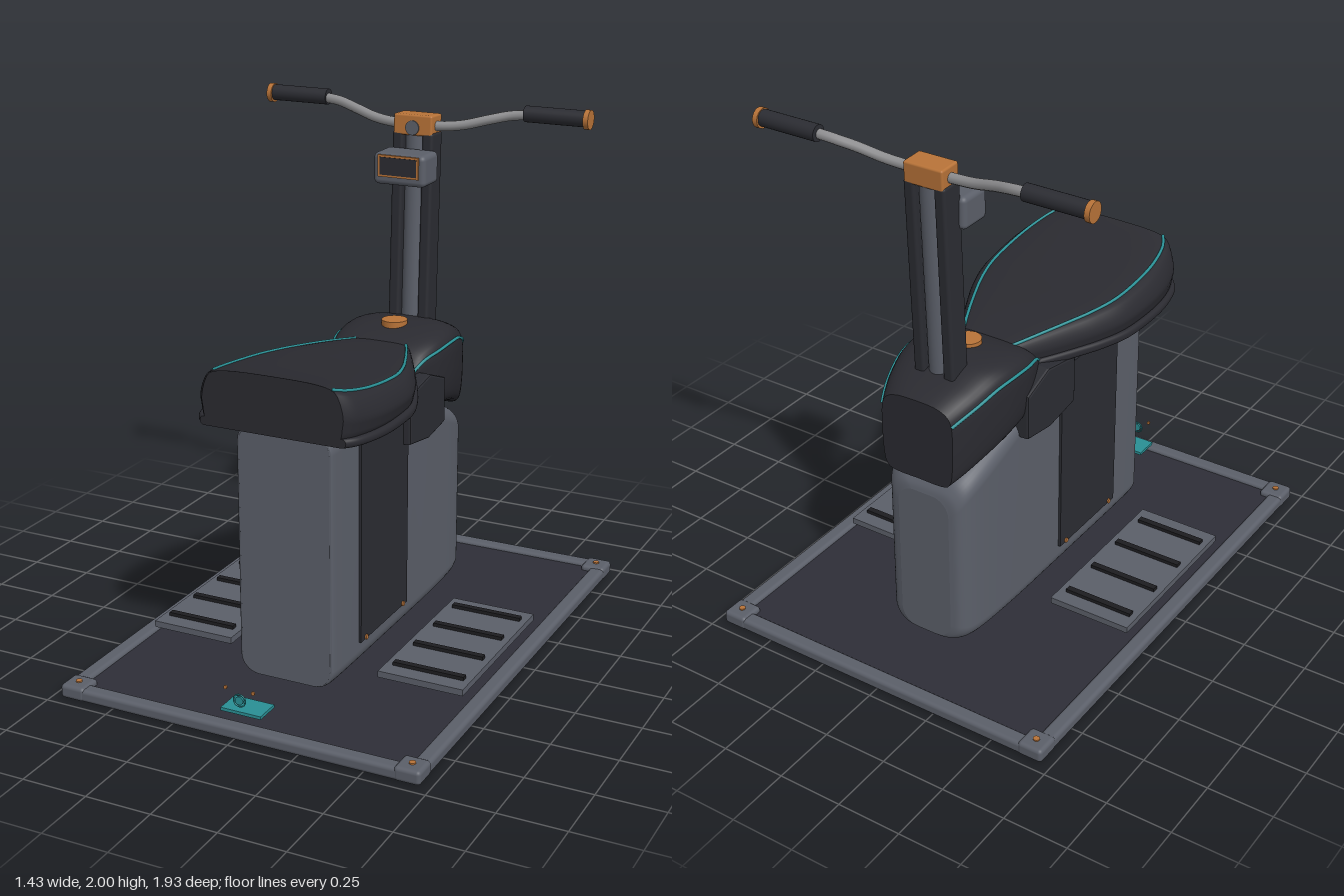
import * as THREE from 'three';
import { RoundedBoxGeometry } from 'three/addons/geometries/RoundedBoxGeometry.js';

const mat = (name, color) => {
  const m = new THREE.MeshStandardMaterial({ color });
  m.name = name;
  return m;
};

// Smoothly interpolates rows of station values, t from 0 to 1
function sample(rows, t) {
  const f = t * (rows.length - 1), i = Math.min(Math.floor(f), rows.length - 2), u = f - i;
  const row = k => rows[THREE.MathUtils.clamp(k, 0, rows.length - 1)];
  return rows[0].map((_, c) => {
    const [a, b, d, e] = [row(i - 1)[c], row(i)[c], row(i + 1)[c], row(i + 2)[c]];
    const m0 = (d - a) / 2, m1 = (e - b) / 2;
    return b + m0 * u + (3 * (d - b) - 2 * m0 - m1) * u * u + (2 * (b - d) + m0 + m1) * u * u * u;
  });
}

// Skins counter-clockwise rings from high z to low z, with flat end caps
function loft(rows, ring, steps) {
  const pos = [], idx = [];
  let n = 0, first, last;
  for (let i = 0; i <= steps; i++) {
    const s = sample(rows, i / steps);
    const pts = ring(s).map(([x, y]) => [x, y, s[0]]);
    n = pts.length;
    if (i === 0) first = pts;
    last = pts;
    pts.forEach(p => pos.push(...p));
  }
  for (let i = 0; i < steps; i++) for (let j = 0; j < n; j++) {
    const a = i * n + j, b = i * n + (j + 1) % n;
    idx.push(a, a + n, b, b, a + n, b + n);
  }
  [first, last].forEach((pts, end) => {
    const base = pos.length / 3;
    const ys = pts.map(p => p[1]);
    pos.push(0, (Math.min(...ys) + Math.max(...ys)) / 2, pts[0][2]);
    pts.forEach(p => pos.push(...p));
    for (let j = 0; j < n; j++) {
      const a = base + 1 + j, b = base + 1 + (j + 1) % n;
      end ? idx.push(base, b, a) : idx.push(base, a, b);
    }
  });
  const g = new THREE.BufferGeometry();
  g.setAttribute('position', new THREE.Float32BufferAttribute(pos, 3));
  g.setIndex(idx);
  g.computeVertexNormals();
  return g;
}

// Ring maker: half profile (fraction of width, fraction of height), mirrored
function profileRing(points) {
  const half = new THREE.SplineCurve(points.map(p => new THREE.Vector2(...p))).getPoints(24);
  return ([, w, y0, y1]) => {
    const right = half.map(p => [p.x * w, y0 + p.y * (y1 - y0)]);
    const left = right.slice(1, -1).reverse().map(([x, y]) => [-x, y]);
    return [...right, ...left];
  };
}

// Ring maker: rectangle with round corners
const roundRing = r => ([, w, y0, y1]) => {
  const out = [];
  [[1, y0 + r, -90], [1, y1 - r, 0], [-1, y1 - r, 90], [-1, y0 + r, 180]].forEach(([s, cy, start]) => {
    for (let k = 0; k <= 8; k++) {
      const a = THREE.MathUtils.degToRad(start + k * 11.25);
      out.push([s * (w - r) + r * Math.cos(a), cy + r * Math.sin(a)]);
    }
  });
  return out;
};

export function createModel() {
  const root = new THREE.Group();
  root.name = 'ridingSimulator';
  const slate = mat('slate', 0x5b5f69), deckDark = mat('deckDark', 0x2e2e37), vinyl = mat('blackVinyl', 0x2a2a30);
  const panelDark = mat('panelDark', 0x2b2c32), copper = mat('copper', 0xb87338), teal = mat('teal', 0x2a8f94);
  const steel = mat('steel', 0x8e8e90), rubber = mat('rubber', 0x1d1d20);

  const add = (name, geo, m, x = 0, y = 0, z = 0, parent = root) => {
    const mesh = new THREE.Mesh(geo, m);
    mesh.name = name;
    mesh.position.set(x, y, z);
    parent.add(mesh);
    return mesh;
  };
  const box = (name, m, w, h, d, x, y, z, parent) => add(name, new THREE.BoxGeometry(w, h, d), m, x, y, z, parent);
  const rbox = (name, m, w, h, d, r, x, y, z, parent) =>
    add(name, new RoundedBoxGeometry(w, h, d, 3, r), m, x, y, z, parent);
  const disc = (name, m, r, h, x, y, z, axis = 'y', parent = root) => {
    const g = new THREE.CylinderGeometry(r, r, h, 24);
    if (axis === 'x') g.rotateZ(Math.PI / 2);
    if (axis === 'z') g.rotateX(Math.PI / 2);
    return add(name, g, m, x, y, z, parent);
  };
  const tube = (name, m, pts, r, parent) => add(name, new THREE.TubeGeometry(
    new THREE.CatmullRomCurve3(pts.map(p => new THREE.Vector3(...p))), 48, r, 10), m, 0, 0, 0, parent);
  const sides = [1, -1];

  // Base platform
  box('deck', deckDark, 1.38, 0.03, 1.88, 0, 0.02, 0);
  box('underside', rubber, 1.4, 0.008, 1.9, 0, 0.004, 0);
  for (const s of sides) {
    rbox('sideRail', slate, 0.06, 0.048, 1.9, 0.015, s * 0.683, 0.026, 0);
    rbox('endRail', slate, 1.4, 0.048, 0.06, 0.015, 0, 0.026, s * 0.935);
    for (const t of sides) {
      rbox('cornerBlock', slate, 0.1, 0.054, 0.1, 0.015, s * 0.665, 0.029, t * 0.917);
      disc('cornerScrew', copper, 0.012, 0.006, s * 0.665, 0.058, t * 0.917);
    }
  }

  // Foot plates with grip strips
  for (const s of sides) {
    box('footPlate', slate, 0.335, 0.025, 0.695, s * 0.473, 0.083, 0.087);
    for (const z of [-0.187, -0.005, 0.178, 0.357]) box('gripStrip', rubber, 0.28, 0.014, 0.025, s * 0.475, 0.102, z);
    for (const z of [-0.15, 0.32]) disc('footPlateMount', rubber, 0.038, 0.035, s * 0.473, 0.055, z);
  }

  // Pedestal body, rounded at the handlebar end
  add('pedestal', loft([
    [0.567, 0.18, 0.05, 1.02], [0.54, 0.192, 0.05, 1.02], [0.35, 0.195, 0.05, 1.02], [0.1, 0.195, 0.05, 1.0],
    [-0.12, 0.195, 0.05, 0.95], [-0.32, 0.194, 0.05, 0.87], [-0.5, 0.187, 0.05, 0.8],
    [-0.59, 0.172, 0.05, 0.755], [-0.63, 0.145, 0.055, 0.71], [-0.642, 0.11, 0.06, 0.68],
  ], roundRing(0.07), 54), slate);

  // Side access panels with screws, and knee blocks
  const knee = new THREE.Shape([[0, 0.82], [0.16, 0.795], [0.3, 0.815], [0.3, 0.98], [0.17, 1.03], [0, 1.0]]
    .map(p => new THREE.Vector2(...p)));
  for (const s of sides) {
    box('sidePanel', panelDark, 0.04, 0.8, 0.4, s * 0.185, 0.555, 0.165);
    for (const y of [0.163, 0.947]) for (const z of [0.325, 0.005])
      disc('panelScrew', copper, 0.01, 0.008, s * 0.207, y, z, 'x');
    const g = new THREE.ExtrudeGeometry(knee, { depth: 0.06, bevelEnabled: true, bevelSize: 0.008, bevelThickness: 0.01, bevelSegments: 2 });
    g.rotateY(Math.PI / 2);
    g.translate(-0.03, 0, 0);
    add('kneeBlock', g, panelDark, s * 0.195, 0, 0);
  }

  // Seat pad, lower rim and piping
  const seatRows = [
    [0.65, 0.275, 1.03, 1.24], [0.6, 0.308, 1.03, 1.225], [0.5, 0.334, 1.028, 1.205], [0.38, 0.342, 1.025, 1.188],
    [0.22, 0.33, 1.022, 1.17], [0.1, 0.293, 1.02, 1.16], [0, 0.247, 1.02, 1.152], [-0.1, 0.196, 1.025, 1.142],
    [-0.19, 0.146, 1.04, 1.13], [-0.25, 0.11, 1.06, 1.12]];
  add('seatPad', loft(seatRows, profileRing([[0, 0], [0.6, 0], [0.93, 0.06], [0.99, 0.3], [1, 0.5],
    [0.94, 0.78], [0.83, 0.93], [0.5, 0.99], [0, 1]]), 54), vinyl);
  add('seatRim', loft(seatRows.slice(0, 9).map(([z, w]) => [z, w + 0.01, 1.008 + Math.max(0, z - 0.2) * 0.03, 1.046 + Math.max(0, z - 0.2) * 0.02]),
    roundRing(0.016), 48), vinyl);
  for (const s of sides) tube('seatPiping', teal, seatRows.map(([z, w, y0, y1]) =>
    [s * w * 0.835, y0 + 0.935 * (y1 - y0), z]), 0.006);

  // Tank with piping and filler cap
  const tankRows = [
    [-0.15, 0.175, 0.99, 1.06], [-0.2, 0.198, 0.93, 1.115], [-0.28, 0.222, 0.88, 1.15], [-0.38, 0.228, 0.855, 1.165],
    [-0.47, 0.217, 0.83, 1.16], [-0.56, 0.195, 0.8, 1.13], [-0.62, 0.173, 0.775, 1.105], [-0.665, 0.152, 0.757, 1.08]];
  add('tank', loft(tankRows, profileRing([[0, 0], [0.65, 0], [0.9, 0.06], [0.98, 0.25], [1, 0.55],
    [0.98, 0.8], [0.84, 0.93], [0.5, 0.99], [0, 1]]), 42), vinyl);
  for (const s of sides) tube('tankPiping', teal, tankRows.map(([z, w, y0, y1]) =>
    [s * w * 0.985, y0 + 0.81 * (y1 - y0), z]), 0.006);
  disc('fillerCap', copper, 0.05, 0.03, 0, 1.163, -0.345);

  // Leaning steering column
  const column = new THREE.Group();
  column.name = 'steeringColumn';
  column.position.set(0, 1.1, -0.51);
  column.rotation.x = -0.04;
  root.add(column);
  for (const s of sides) rbox('columnRail', panelDark, 0.045, 0.79, 0.095, 0.012, s * 0.062, 0.385, 0, column);
  disc('columnTube', slate, 0.043, 0.79, 0, 0.385, 0, 'y', column);
  rbox('barClamp', copper, 0.16, 0.08, 0.095, 0.008, 0, 0.805, 0, column);
  disc('clampBolt', slate, 0.028, 0.012, 0, 0.795, 0.047, 'z', column);

  // Display unit
  rbox('displayHousing', slate, 0.215, 0.122, 0.135, 0.02, 0, 1.755, -0.438);
  box('displayFrame', copper, 0.168, 0.084, 0.008, 0, 1.768, -0.369);
  box('displayScreen', panelDark, 0.152, 0.068, 0.006, 0, 1.768, -0.366);

  // Handlebar, grips and end caps
  const half = [[0.08, 1.902, -0.542], [0.18, 1.912, -0.553], [0.28, 1.937, -0.575], [0.36, 1.955, -0.597], [0.45, 1.964, -0.606]];
  tube('handlebar', steel, [...half.map(([x, y, z]) => [-x, y, z]).reverse(), ...half], 0.019);
  for (const s of sides) {
    disc('grip', rubber, 0.031, 0.24, s * 0.535, 1.965, -0.608, 'x').material = panelDark;
    disc('gripCap', copper, 0.037, 0.02, s * 0.663, 1.963, -0.608, 'x');
  }

  // Small control plate and floating indicator at the platform edge
  box('controlPlate', teal, 0.16, 0.012, 0.1, 0, 0.077, 0.855);
  disc('indicator', teal, 0.016, 0.008, 0, 0.13, 0.91, 'z');
  add('indicatorRing', new THREE.TorusGeometry(0.023, 0.003, 8, 28), teal, 0, 0.13, 0.91);
  for (const s of sides) disc('indicatorDot', copper, 0.007, 0.006, s * 0.055, 0.17, 0.91, 'z');
  return root;
}
